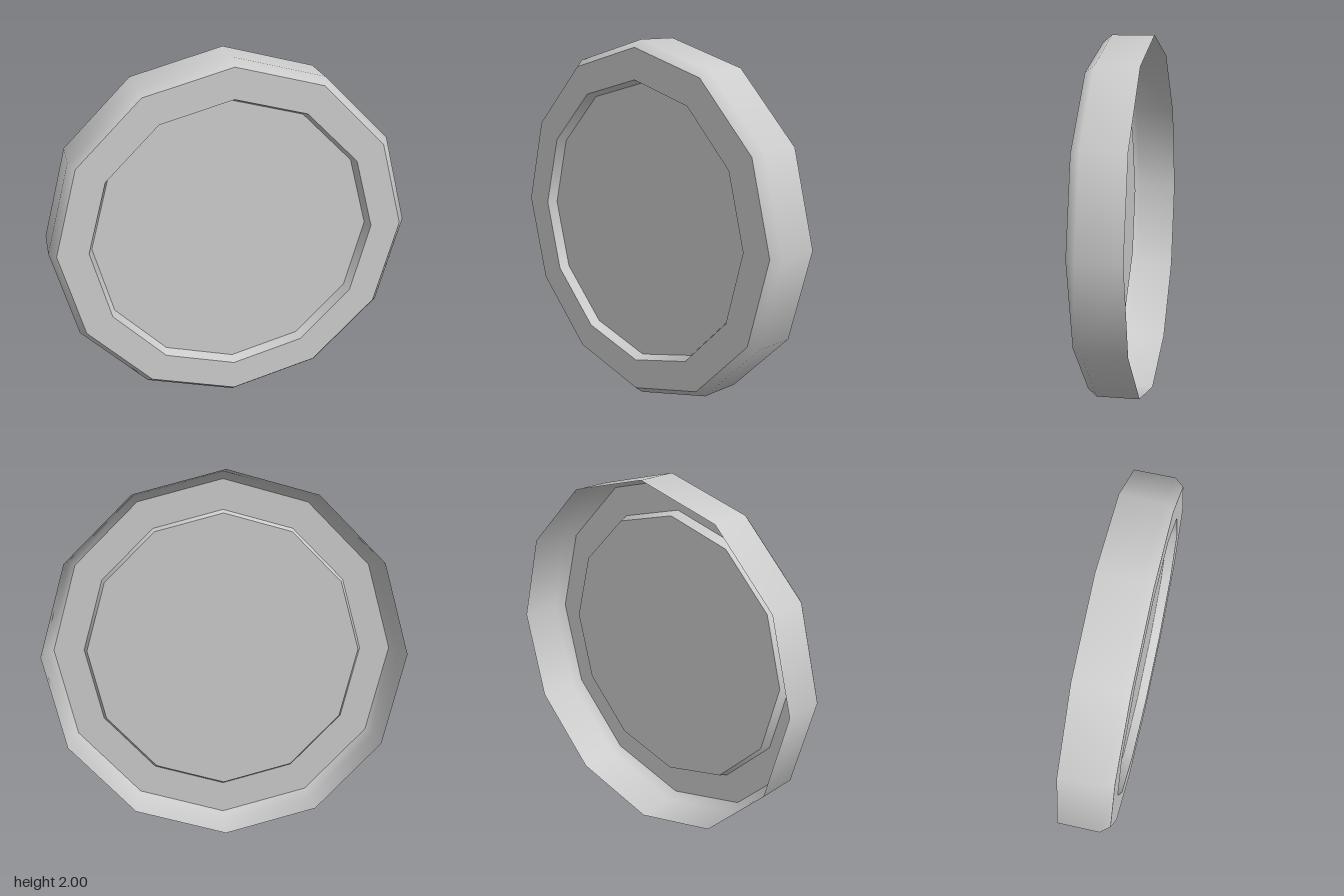
import * as THREE from 'three';

const SIDES = 12;
const FRONT = 0.14, BACK = -0.14;   // z of the rim face and of the open back edge
const PANEL_Z = FRONT - 0.055;      // recessed centre panel
const RIM_R = 0.96, RECESS_R = 0.79, PANEL_R = 0.77;

export function createModel() {
  const model = new THREE.Group();
  model.name = 'twelveSidedDish';

  const grey = new THREE.MeshStandardMaterial({ color: 0xcccccc, side: THREE.DoubleSide });
  grey.name = 'light grey';

  const add = (name, geometry, z = 0) => {
    const mesh = new THREE.Mesh(geometry, grey);
    mesh.name = name;
    mesh.position.set(0, 1, z);
    model.add(mesh);
  };

  // Turn a profile of [radius, z] points around the z axis
  const turned = (profile) => {
    const points = profile.map(([r, z]) => new THREE.Vector2(r, z));
    return new THREE.LatheGeometry(points, SIDES).rotateX(Math.PI / 2);
  };

  // Thin outer wall, open at the back, with a bevelled front edge
  add('outerWall', turned([[1, BACK], [1, 0.09], [RIM_R, FRONT]]));

  // Flat front rim
  add('frontRim', new THREE.RingGeometry(RECESS_R, RIM_R, SIDES), FRONT);

  // Sloped step down to the panel
  add('recessWall', turned([[RECESS_R, FRONT], [PANEL_R, PANEL_Z]]));

  // Recessed centre panel
  add('centrePanel', new THREE.CircleGeometry(PANEL_R, SIDES), PANEL_Z);

  return model;
}
